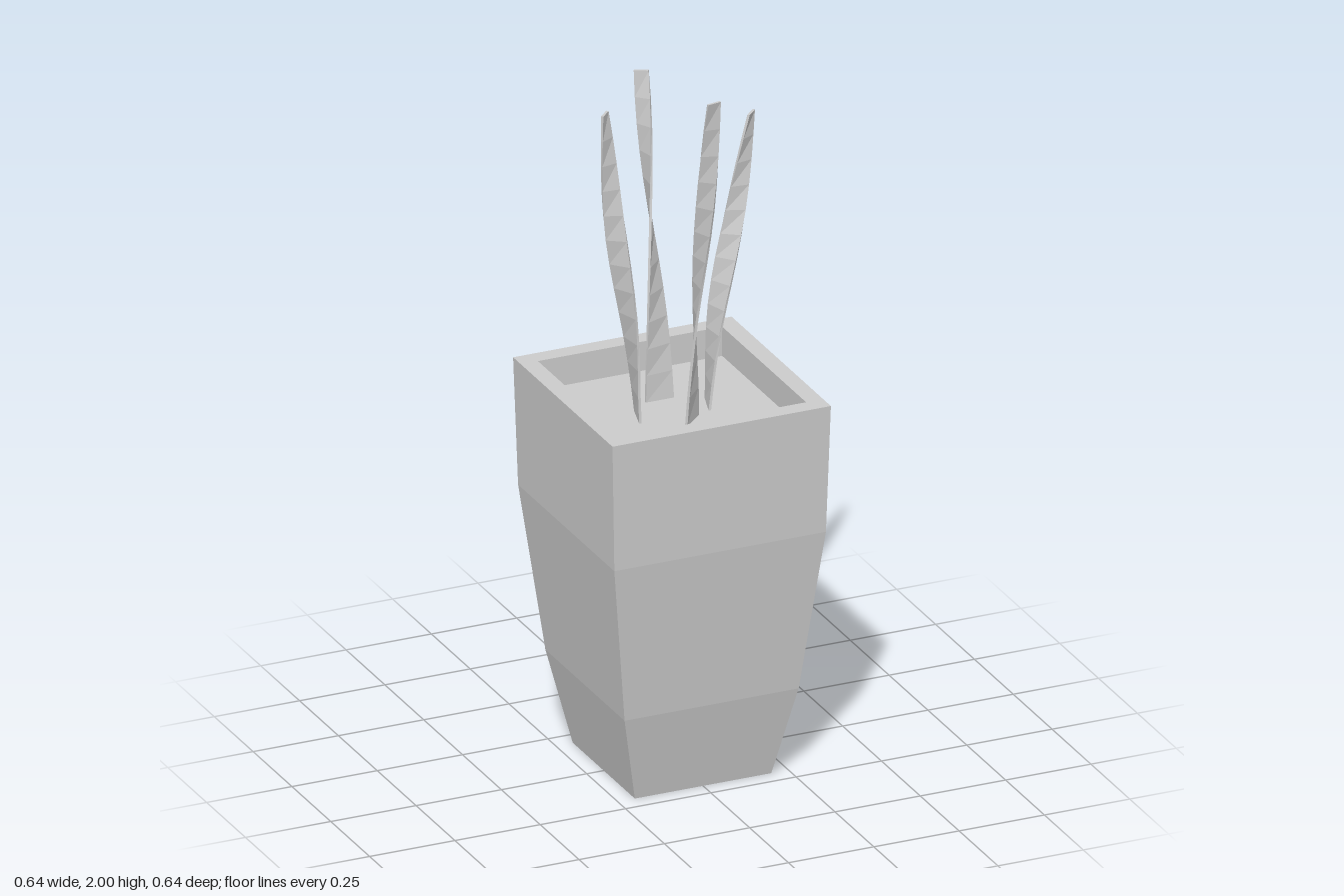
import * as THREE from 'three';

const SOIL_Y = 1.015;
const material = new THREE.MeshStandardMaterial({ color: 0xcccccc, flatShading: true });

// Square pot: four-sided lathe, half-widths turned into corner radii
function makePot() {
  const profile = [
    [0, 0], [0.2, 0], [0.255, 0.26], [0.31, 0.73], [0.32, 1.1], // outer wall
    [0.27, 1.1], [0.27, SOIL_Y],                                // rim and inner wall
  ].map(([half, y]) => new THREE.Vector2(half * Math.SQRT2, y));
  const pot = new THREE.Mesh(new THREE.LatheGeometry(profile, 4, Math.PI / 4), material);
  pot.name = 'pot';
  return pot;
}

function makeSoil() {
  const soil = new THREE.Mesh(new THREE.PlaneGeometry(0.54, 0.54).rotateX(-Math.PI / 2), material);
  soil.position.y = SOIL_Y;
  soil.name = 'soil';
  return soil;
}

// Leaf: thin tapering strip that follows a bent path and twists as it rises.
// The angle gives the direction of its width, measured from +z towards +x.
function makeLeaf({ name, path, from, to }) {
  const curve = new THREE.CatmullRomCurve3(path.map((p) => new THREE.Vector3(...p)));
  const geometry = new THREE.BoxGeometry(1, 1, 1, 1, 12, 1);
  const pos = geometry.attributes.position;
  for (let i = 0; i < pos.count; i++) {
    const t = pos.getY(i) + 0.5;
    const c = curve.getPointAt(t);
    const angle = THREE.MathUtils.degToRad(from + (to - from) * t ** 1.4);
    const across = pos.getZ(i) * THREE.MathUtils.lerp(0.082, 0.04, t);
    const thick = pos.getX(i) * 0.007;
    const s = Math.sin(angle), k = Math.cos(angle);
    pos.setXYZ(i, c.x + across * s + thick * k, c.y, c.z + across * k - thick * s);
  }
  geometry.computeVertexNormals();
  const leaf = new THREE.Mesh(geometry, material);
  leaf.name = name;
  return leaf;
}

const LEAVES = [
  { name: 'rightLeaf', from: -15, to: 135,
    path: [[-0.1, SOIL_Y, 0], [-0.12, 1.25, 0], [-0.17, 1.6, 0], [-0.197, 1.92, 0]] },
  { name: 'leftLeaf', from: -17, to: 135,
    path: [[0.105, SOIL_Y, 0], [0.125, 1.25, 0], [0.192, 1.6, 0], [0.232, 1.845, 0]] },
  { name: 'backLeaf', from: 90, to: 243,
    path: [[0, SOIL_Y, -0.08], [0, 1.25, -0.097], [0, 1.6, -0.153], [0, 1.93, -0.198]] },
  { name: 'frontLeaf', from: 133, to: 280,
    path: [[0.024, SOIL_Y, 0.077], [0.022, 1.35, 0.105], [0.02, 1.7, 0.175], [0.023, 2, 0.22]] },
];

export function createModel() {
  const model = new THREE.Group();
  model.name = 'pottedPlant';
  model.add(makePot(), makeSoil(), ...LEAVES.map(makeLeaf));
  return model;
}
